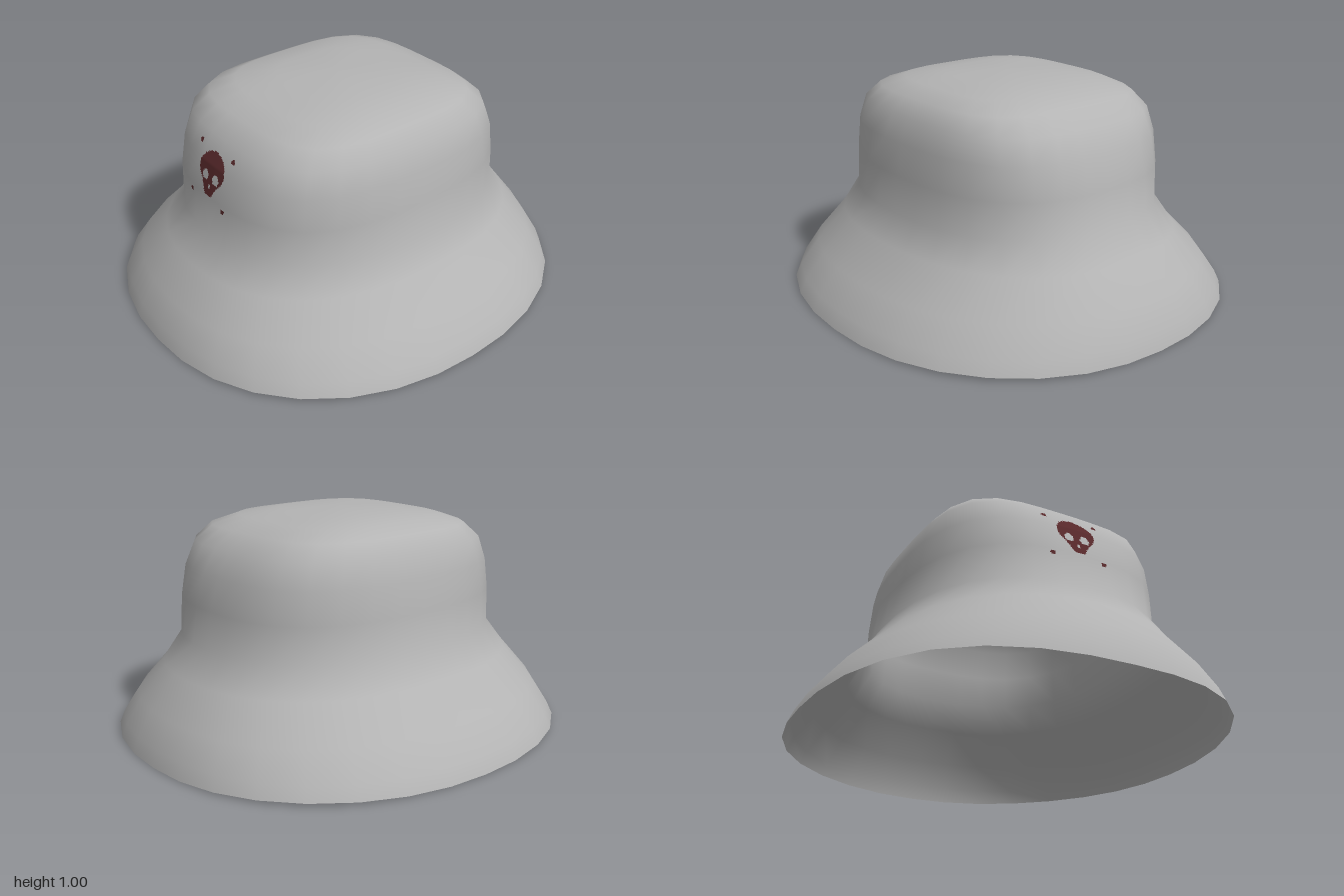
import * as THREE from 'three';

// Rings of the cloth from brim to crown: height, half width, half depth, squareness, x shift
const RINGS = [
  [0.0, 0.93, 1.0, 2.3, 0],
  [0.07, 0.9, 0.98, 2.3, 0],
  [0.185, 0.81, 0.92, 2.3, 0],
  [0.33, 0.67, 0.81, 2.32, 0.005],
  [0.45, 0.597, 0.715, 2.4, 0.012],
  [0.61, 0.575, 0.69, 2.7, 0.01],
  [0.75, 0.553, 0.652, 3.0, 0.01],
  [0.855, 0.518, 0.595, 3.4, 0.008],
  [0.922, 0.463, 0.51, 3.7, 0.005],
  [0.962, 0.38, 0.4, 3.6, 0],
  [0.985, 0.24, 0.24, 3.2, 0],
];
const SIDES = 32;

function clothGeometry() {
  const pos = [], index = [];
  RINGS.forEach(([y, hx, hz, n, dx], r) => {
    for (let i = 0; i < SIDES; i++) {
      const a = (i / SIDES) * Math.PI * 2;
      const s = Math.sin(a), c = Math.cos(a);
      const k = Math.pow(Math.abs(s) ** n + Math.abs(c) ** n, -1 / n);
      // the hem lifts slightly at the diagonals
      const lift = r === 0 ? 0.014 * Math.sin(2 * a) ** 2 : 0;
      pos.push(dx + hx * k * s, y + lift, hz * k * c);
    }
  });
  const top = pos.length / 3;
  pos.push(0, 0.995, 0);
  for (let r = 0; r < RINGS.length; r++) {
    for (let i = 0; i < SIDES; i++) {
      const j = (i + 1) % SIDES;
      const a = r * SIDES + i, b = r * SIDES + j;
      if (r === RINGS.length - 1) index.push(a, b, top);
      else index.push(a, b, b + SIDES, a, b + SIDES, a + SIDES);
    }
  }
  const g = new THREE.BufferGeometry();
  g.setAttribute('position', new THREE.Float32BufferAttribute(pos, 3));
  g.setIndex(index);
  g.computeVertexNormals();
  return g;
}

// Painted skull motif: true where the paint covers the cloth
const inEllipse = (x, y, cx, cy, rx, ry) => ((x - cx) / rx) ** 2 + ((y - cy) / ry) ** 2 < 1;
function painted(x, y) {
  for (const cx of [-0.14, 0.103])
    for (const cy of [0.592, 0.805])
      if (inEllipse(x, y, cx, cy, 0.012, 0.01)) return true;
  const u = x + 0.011;
  const eye = inEllipse(Math.abs(u), y, 0.037, 0.697, 0.022, 0.022);
  const nose = inEllipse(u, y, 0, 0.658, 0.008, 0.01);
  if (eye || nose) return false;
  const cranium = inEllipse(u, y, 0, 0.73, 0.09, 0.072);
  const jaw = y > 0.615 && y < 0.69 && Math.abs(u) < 0.022 + (y - 0.615) * 0.6;
  return cranium || jaw;
}

// Small square cells laid on the cloth follow its curve
function motifGeometry(cloth, offset) {
  const STEP = 0.006, pos = [], index = [], seen = new Map();
  const ray = new THREE.Raycaster();
  const down = new THREE.Vector3(0, 0, -1);
  const vertex = (i, j) => {
    const key = i + ',' + j;
    if (!seen.has(key)) {
      const x = -0.16 + i * STEP, y = 0.57 + j * STEP;
      ray.set(new THREE.Vector3(x, y, 2), down);
      const hit = ray.intersectObject(cloth)[0];
      seen.set(key, pos.length / 3);
      pos.push(x, y, hit.point.z + offset);
    }
    return seen.get(key);
  };
  for (let i = 0; i < 48; i++) {
    for (let j = 0; j < 42; j++) {
      if (!painted(-0.16 + (i + 0.5) * STEP, 0.57 + (j + 0.5) * STEP)) continue;
      const a = vertex(i, j), b = vertex(i + 1, j), c = vertex(i + 1, j + 1), d = vertex(i, j + 1);
      index.push(a, b, c, a, c, d);
    }
  }
  const g = new THREE.BufferGeometry();
  g.setAttribute('position', new THREE.Float32BufferAttribute(pos, 3));
  g.setIndex(index);
  g.computeVertexNormals();
  return g;
}

export function createModel() {
  const clothGrey = new THREE.MeshStandardMaterial({ color: 0xb4b4b4, side: THREE.DoubleSide });
  clothGrey.name = 'clothGrey';
  const darkRed = new THREE.MeshStandardMaterial({ color: 0x5a2a2c, side: THREE.DoubleSide });
  darkRed.name = 'darkRed';

  const hat = new THREE.Group();
  hat.name = 'bucketHat';
  const cloth = new THREE.Mesh(clothGeometry(), clothGrey);
  cloth.name = 'crownAndBrim';
  hat.add(cloth);

  // The paint shows outside and through to the lining
  for (const [name, offset] of [['skullMotif', 0.004], ['skullMotifLining', -0.004]]) {
    const motif = new THREE.Mesh(motifGeometry(cloth, offset), darkRed);
    motif.name = name;
    hat.add(motif);
  }
  return hat;
}
